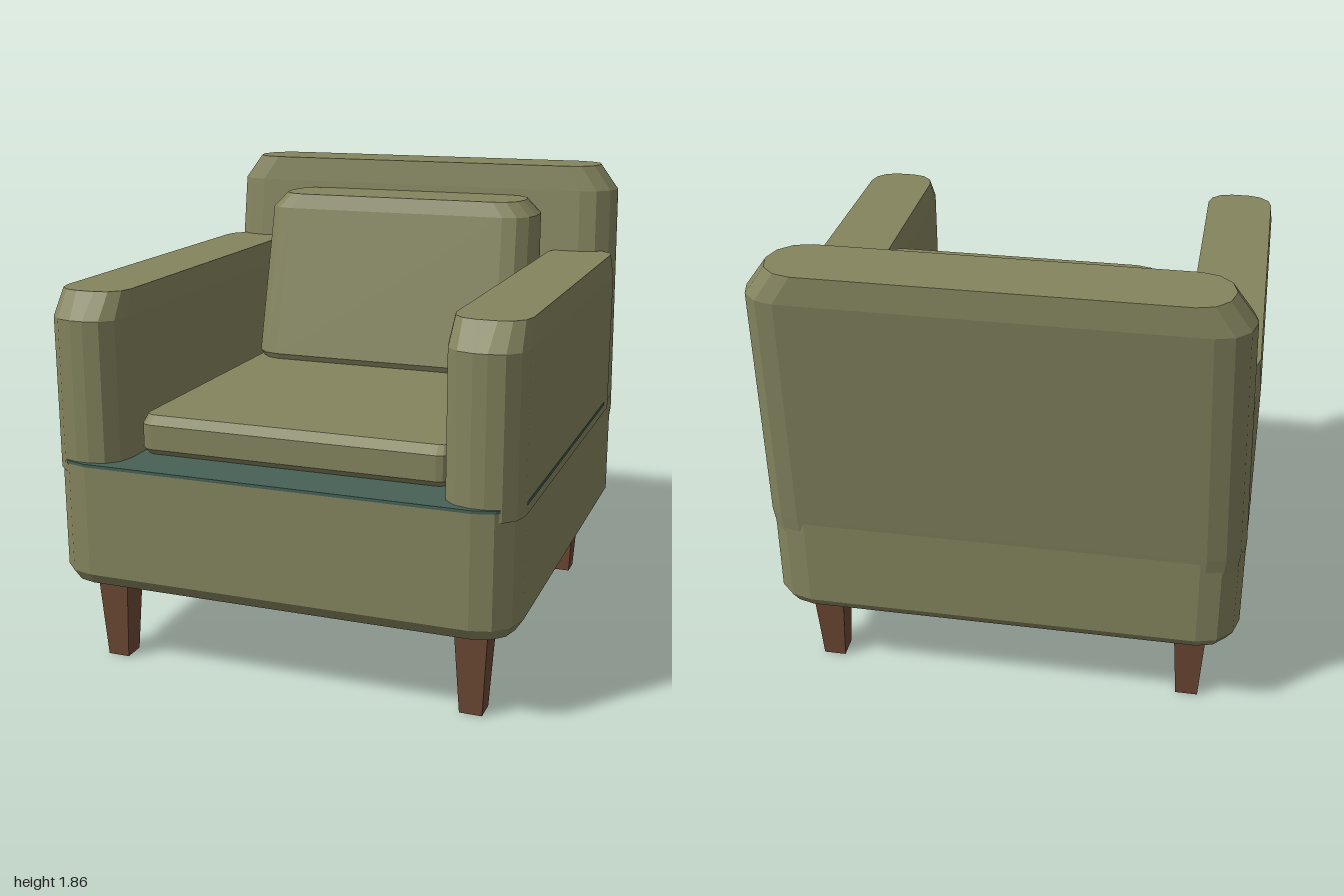
import * as THREE from 'three';

const CORNER_STEPS = 3;

// Rounded rectangle in plan, counter-clockwise seen from above.
function ring({ y, x, z, r }) {
  const [x0, x1] = x, [z0, z1] = z, points = [];
  const corners = [[x1 - r, z0 + r], [x0 + r, z0 + r], [x0 + r, z1 - r], [x1 - r, z1 - r]];
  corners.forEach(([cx, cz], c) => {
    for (let i = 0; i <= CORNER_STEPS; i++) {
      const a = (c + i / CORNER_STEPS) * Math.PI / 2;
      points.push(new THREE.Vector3(cx + r * Math.cos(a), y, cz - r * Math.sin(a)));
    }
  });
  return points;
}

// Faceted, closed solid through a stack of rings, listed from bottom to top.
function loft(sections) {
  const rings = sections.map(ring), n = rings[0].length, tris = [];
  for (let k = 0; k < rings.length - 1; k++) {
    const a = rings[k], b = rings[k + 1];
    for (let i = 0; i < n; i++) {
      const j = (i + 1) % n;
      tris.push(a[i], a[j], b[j], a[i], b[j], b[i]);
    }
  }
  const low = rings[0], high = rings[rings.length - 1];
  for (let i = 1; i < n - 1; i++) {
    tris.push(high[0], high[i], high[i + 1], low[0], low[i + 1], low[i]);
  }
  const geometry = new THREE.BufferGeometry().setFromPoints(tris);
  geometry.computeVertexNormals();
  return geometry;
}

export function createModel() {
  const fabric = new THREE.MeshStandardMaterial({ color: 0x84845f });
  const piping = new THREE.MeshStandardMaterial({ color: 0x476156 });
  const wood = new THREE.MeshStandardMaterial({ color: 0x6c4834 });
  fabric.name = 'olive fabric';
  piping.name = 'teal fabric';
  wood.name = 'brown wood';

  const chair = new THREE.Group();
  chair.name = 'armchair';
  const add = (name, geometry, material) => {
    const mesh = new THREE.Mesh(geometry, material);
    mesh.name = name;
    chair.add(mesh);
    return mesh;
  };

  // Base with a bevelled lower edge
  add('base', loft([
    { y: 0.355, x: [-0.89, 0.89], z: [-0.87, 0.97], r: 0.13 },
    { y: 0.4, x: [-0.92, 0.92], z: [-0.9, 1.0], r: 0.16 },
    { y: 0.835, x: [-0.92, 0.92], z: [-0.9, 1.0], r: 0.16 },
  ]), fabric);

  // Thin deck that shows as a seam line and in front of the seat
  const deck = { x: [-0.924, 0.924], z: [-0.74, 1.0], r: 0.16 };
  add('seatDeck', loft([{ y: 0.835, ...deck }, { y: 0.847, ...deck }]), piping);

  // Arms
  for (const [name, s] of [['leftArm', 1], ['rightArm', -1]]) {
    const span = (a, b) => (s > 0 ? [a, b] : [-b, -a]);
    add(name, loft([
      { y: 0.8, x: span(0.63, 0.922), z: [-0.79, 0.98], r: 0.12 },
      { y: 1.395, x: span(0.63, 0.922), z: [-0.79, 0.98], r: 0.12 },
      { y: 1.495, x: span(0.638, 0.914), z: [-0.73, 0.9], r: 0.1 },
    ]), fabric);
  }

  // Backrest leaning to the rear
  add('backrest', loft([
    { y: 0.6, x: [-0.9, 0.9], z: [-0.88, -0.6], r: 0.13 },
    { y: 0.78, x: [-0.922, 0.922], z: [-0.902, -0.6], r: 0.14 },
    { y: 1.755, x: [-0.893, 0.893], z: [-1.0, -0.705], r: 0.14 },
    { y: 1.86, x: [-0.815, 0.815], z: [-0.992, -0.718], r: 0.13 },
  ]), fabric);

  // Seat cushion
  add('seatCushion', loft([
    { y: 0.847, x: [-0.61, 0.61], z: [-0.65, 0.79], r: 0.04 },
    { y: 0.87, x: [-0.625, 0.625], z: [-0.65, 0.81], r: 0.05 },
    { y: 0.968, x: [-0.625, 0.625], z: [-0.65, 0.81], r: 0.05 },
    { y: 1.0, x: [-0.615, 0.615], z: [-0.65, 0.775], r: 0.04 },
  ]), fabric);

  // Loose back cushion, leaning with the backrest
  add('backCushion', loft([
    { y: 0.995, x: [-0.6, 0.6], z: [-0.64, -0.265], r: 0.1 },
    { y: 1.025, x: [-0.625, 0.625], z: [-0.65, -0.25], r: 0.12 },
    { y: 1.665, x: [-0.607, 0.607], z: [-0.72, -0.39], r: 0.12 },
    { y: 1.727, x: [-0.548, 0.548], z: [-0.7, -0.415], r: 0.11 },
  ]), fabric);

  // Tapered square legs
  const legGeometry = new THREE.CylinderGeometry(0.065 * Math.SQRT2, 0.044 * Math.SQRT2, 0.36, 4, 1)
    .rotateY(Math.PI / 4).translate(0, 0.18, 0).toNonIndexed();
  legGeometry.computeVertexNormals();
  for (const [side, x] of [['Left', 0.735], ['Right', -0.735]]) {
    add('front' + side + 'Leg', legGeometry, wood).position.set(x, 0, 0.808);
    add('rear' + side + 'Leg', legGeometry, wood).position.set(x, 0, -0.705);
  }
  return chair;
}
